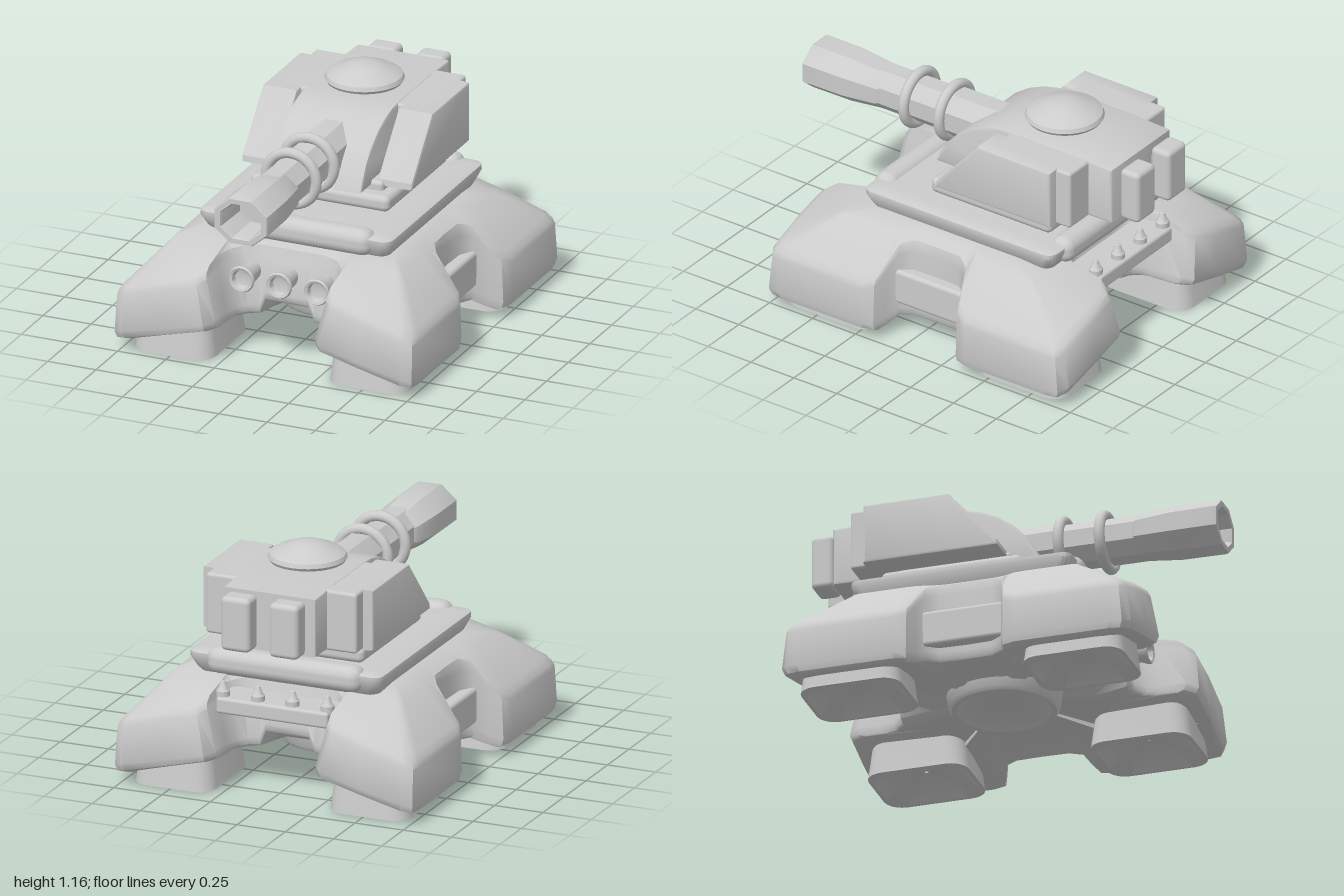
import * as THREE from 'three';
import { toCreasedNormals } from 'three/addons/utils/BufferGeometryUtils.js';
import { RoundedBoxGeometry } from 'three/addons/geometries/RoundedBoxGeometry.js';

const MID = -0.1; // z of the hull centre
const mat = new THREE.MeshStandardMaterial({ color: 0xcccccc });
const lerp = THREE.MathUtils.lerp;

// Skin a stack of closed rings (points run from +z towards +x, rings go outward-side up)
function loft(rings, crease = 0.7) {
  const n = rings[0].length, index = [];
  for (let r = 0; r < rings.length - 1; r++) {
    for (let i = 0; i < n; i++) {
      const j = (i + 1) % n, a = r * n + i, b = r * n + j;
      index.push(a, b, a + n, b + n, a + n, b);
    }
  }
  const g = new THREE.BufferGeometry();
  g.setAttribute('position', new THREE.Float32BufferAttribute(rings.flat(2), 3));
  g.setIndex(index);
  return toCreasedNormals(g, crease);
}

// Rounded rectangle ring at height y
function rectRing(w, d, r, y) {
  const pts = [];
  for (let q = 0; q < 4; q++) {
    const sx = q < 2 ? 1 : -1, sz = q === 0 || q === 3 ? 1 : -1;
    for (let k = 0; k <= 5; k++) {
      const a = (q + k / 5) * Math.PI / 2;
      pts.push([sx * (w / 2 - r) + r * Math.sin(a), y, sz * (d / 2 - r) + r * Math.cos(a)]);
    }
  }
  return pts;
}

const lathe = (pts, seg = 32) =>
  toCreasedNormals(new THREE.LatheGeometry(pts.map(p => new THREE.Vector2(...p)), seg), 0.6);

// Side profile [z, y] extruded across x
function sideExtrude(profile, width, bevel = 0.012) {
  const shape = new THREE.Shape(profile.map(p => new THREE.Vector2(...p)));
  const g = new THREE.ExtrudeGeometry(shape, {
    depth: width - 2 * bevel, bevelSize: bevel, bevelThickness: bevel, bevelOffset: -bevel, bevelSegments: 2
  });
  g.translate(0, 0, -width / 2 + bevel).rotateY(-Math.PI / 2);
  return toCreasedNormals(g, 0.5);
}

// Hull with four corner pods: one quarter outline, mirrored, skinned from belly to deck
function hullGeometry() {
  // x low, z low, x high, z high, y bottom, y top
  const quarter = [
    [0, 0.57, 0, 0.51, 0.26, 0.5], [0.11, 0.57, 0.11, 0.51, 0.26, 0.5],
    [0.14, 0.57, 0.16, 0.51, 0.19, 0.5], [0.2, 0.58, 0.24, 0.53, 0.18, 0.49],
    [0.24, 0.63, 0.29, 0.6, 0.18, 0.485], [0.255, 0.7, 0.31, 0.68, 0.18, 0.48],
    [0.26, 0.82, 0.315, 0.8, 0.18, 0.465], [0.3, 0.87, 0.35, 0.84, 0.17, 0.445],
    [0.5, 0.875, 0.5, 0.85, 0.12, 0.4], [0.72, 0.87, 0.72, 0.845, 0.065, 0.335],
    [0.77, 0.84, 0.765, 0.82, 0.05, 0.32], [0.78, 0.78, 0.775, 0.76, 0.05, 0.315],
    [0.78, 0.3, 0.775, 0.3, 0.05, 0.315], [0.76, 0.24, 0.75, 0.24, 0.05, 0.34],
    [0.7, 0.215, 0.69, 0.215, 0.07, 0.4], [0.63, 0.19, 0.62, 0.19, 0.1, 0.47],
    [0.59, 0.13, 0.58, 0.13, 0.1, 0.49], [0.585, 0, 0.575, 0, 0.1, 0.49]
  ];
  const mirror = (p, sx, sz) => [p[0] * sx, p[1] * sz, p[2] * sx, p[3] * sz, p[4], p[5]];
  const half = [...quarter, ...quarter.slice(0, -1).reverse().map(p => mirror(p, 1, -1))];
  const loop = [...half, ...half.slice(1, -1).reverse().map(p => mirror(p, -1, 1))];
  const clamp = (v, m) => Math.max(-m, Math.min(m, v));
  // high: wall lean 0..1, inset: share of the way to the deck edge
  const ring = (high, inset, height) => loop.map(p => {
    const x = lerp(p[0], p[2], high), z = lerp(p[1], p[3], high);
    return [lerp(x, clamp(x, 0.48), inset), height(p[4], p[5]), lerp(z, clamp(z, 0.4), inset)];
  });
  const pole = y => loop.map(() => [0, y, 0]);
  return loft([
    pole(0.15),
    ring(0, 1, b => lerp(b, 0.15, 0.6)),
    ring(0, 0.1, b => b),
    ring(0, 0.03, b => b + 0.012),
    ring(0, 0, b => b + 0.045),
    ring(0.9, 0, (b, t) => t - 0.04),
    ring(1, 0.025, (b, t) => t - 0.012),
    ring(1, 0.1, (b, t) => t + 0.015),
    ring(1, 0.65, (b, t) => lerp(t, 0.54, 0.65) + 0.24 * (0.54 - t)),
    ring(1, 1, () => 0.545),
    pole(0.55)
  ], 0.75);
}

export function createModel() {
  const model = new THREE.Group();
  const add = (name, geometry, x = 0, y = 0, z = 0) => {
    const m = new THREE.Mesh(geometry, mat);
    m.name = name;
    m.position.set(x, y, z);
    model.add(m);
    return m;
  };
  const box = (name, w, h, d, x, y, z, r = 0.015) =>
    add(name, new RoundedBoxGeometry(w, h, d, 3, r), x, y, z);

  add('hull', hullGeometry(), 0, 0, MID);

  // Hollow feet under the pods
  const foot = loft([
    rectRing(0.02, 0.02, 0.01, 0.07), rectRing(0.24, 0.32, 0.07, 0.06), rectRing(0.37, 0.46, 0.08, 0),
    rectRing(0.41, 0.5, 0.09, 0), rectRing(0.405, 0.495, 0.09, 0.02), rectRing(0.37, 0.45, 0.08, 0.2)
  ]);
  for (const sx of [-1, 1]) for (const sz of [-1, 1]) add('foot', foot, sx * 0.505, 0, MID + sz * 0.555);

  // Belly dish
  add('bellyDish', lathe([[0, 0.135], [0.12, 0.125], [0.2, 0.1], [0.225, 0.08], [0.25, 0.08], [0.265, 0.1], [0.28, 0.19]]), 0, 0, MID);

  // Waist bars
  for (const s of [-1, 1]) box('sideBar', 0.1, 0.18, 0.45, s * 0.59, 0.26, MID, 0.02);

  // Front lamps
  const lamp = lathe([[0.045, 0], [0.05, 0.1], [0.062, 0.13], [0.066, 0.145], [0.06, 0.155], [0.047, 0.15], [0.04, 0.125], [0, 0.115]]);
  lamp.rotateX(Math.PI / 2);
  for (const x of [-0.195, 0, 0.195]) add('lamp', lamp, x, 0.39, 0.41);

  // Rear shelf with studs
  box('rearShelf', 0.58, 0.08, 0.2, 0, 0.43, -0.75);
  const stud = lathe([[0.033, 0], [0.033, 0.04], [0.024, 0.05], [0.012, 0.085], [0, 0.09]], 16);
  for (const x of [-0.27, -0.09, 0.09, 0.27]) add('stud', stud, x, 0.455, -0.805);

  // Deck skirt with padded rolls at both ends
  add('deckSkirt', loft([
    rectRing(0.92, 1.0, 0.05, 0.52), rectRing(0.95, 1.05, 0.05, 0.55), rectRing(1.0, 1.1, 0.05, 0.605),
    rectRing(0.995, 1.1, 0.05, 0.628), rectRing(0.95, 1.06, 0.05, 0.637), rectRing(0.84, 0.96, 0.05, 0.64),
    rectRing(0.02, 0.02, 0.01, 0.645)
  ]), 0, 0, -0.16);
  for (const z of [0.35, -0.675]) box('deckRoll', 0.8, 0.13, 0.125, 0, 0.6, z, 0.055);

  // Turret ring and neck
  box('turretRing', 0.72, 0.08, 0.7, 0, 0.685, -0.25, 0.03);
  box('turretNeck', 0.6, 0.14, 0.56, 0, 0.7, -0.25, 0.02);

  // Turret body: curved centre, rear shoulder, sloped cheeks
  add('turretCentre', sideExtrude([
    [0.15, 0.745], [0.13, 0.79], [0.08, 0.87], [0.02, 0.935], [-0.06, 0.99], [-0.14, 1.025],
    [-0.22, 1.045], [-0.3, 1.05], [-0.65, 1.05], [-0.875, 1.04], [-0.875, 0.75], [-0.65, 0.745]
  ], 0.48));
  box('turretShoulder', 0.78, 0.3, 0.46, 0, 0.895, -0.51);
  const cheek = sideExtrude([[0.01, 0.745], [0.005, 0.775], [-0.235, 1.045], [-0.66, 1.045], [-0.66, 0.745]], 0.18);
  for (const s of [-1, 1]) add('turretCheek', cheek, s * 0.352, 0, 0);

  // Hatch on the roof
  add('hatch', lathe([[0, 1.04], [0.13, 1.055], [0.18, 1.07], [0.19, 1.085], [0.182, 1.105], [0.15, 1.125],
    [0.1, 1.143], [0.075, 1.155], [0.04, 1.162], [0, 1.164]], 40), 0, 0, -0.43);

  // Rear exhaust boxes
  for (const s of [-1, 1]) {
    box('exhaust', 0.15, 0.27, 0.11, s * 0.125, 0.9, -0.945, 0.025);
    box('exhaustMount', 0.08, 0.16, 0.08, s * 0.125, 0.9, -0.88);
  }

  // Eight-sided gun barrel with a wider hollow muzzle
  const gun = (name, pts) => {
    const g = lathe(pts, 8);
    g.rotateY(Math.PI / 8).rotateX(Math.PI / 2);
    return add(name, g, 0, 0.885, 0);
  };
  gun('barrel', [[0.122, -0.25], [0.122, 0.2], [0.112, 0.24], [0.112, 0.7]]);
  const muzzle = gun('muzzle', [[0.11, 0.57], [0.127, 0.59], [0.148, 0.77], [0.15, 0.99], [0.145, 1],
    [0.115, 1], [0.108, 0.985], [0.1, 0.8], [0, 0.8]]);
  muzzle.scale.y = 0.84;

  // Barrel rings
  const ringGeo = new THREE.TorusGeometry(0.13, 0.026, 14, 40);
  for (const z of [0.21, 0.415]) add('barrelRing', ringGeo, 0, 0.888, z);

  return model;
}
